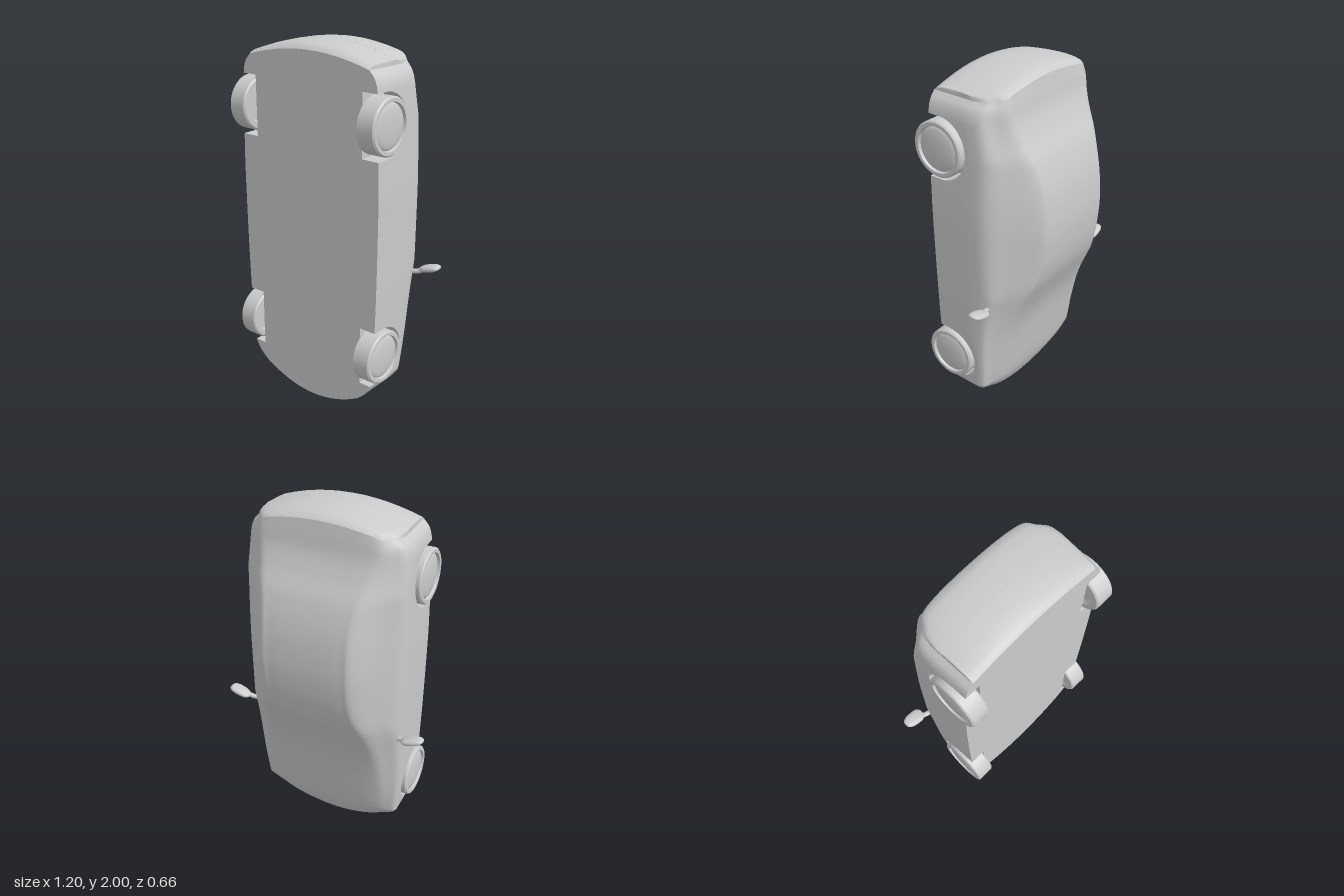
import * as THREE from 'three';
import { toCreasedNormals } from 'three/addons/utils/BufferGeometryUtils.js';

const FLOOR = 0.25, ARCH_Z = 0.18, ARCH_R = 0.165, WELL_X = 0.35;
const AXLES = [0.375, 1.632];

// Smooth lookup through [position, value] pairs
function smooth(table, s) {
  const n = table.length - 1;
  let i = 0;
  while (i < n - 1 && s > table[i + 1][0]) i++;
  const slope = (k) => {
    const a = table[Math.max(0, k - 1)], b = table[Math.min(n, k + 1)];
    return (b[1] - a[1]) / (b[0] - a[0]);
  };
  const [x0, y0] = table[i], [x1, y1] = table[i + 1];
  const h = x1 - x0, t = THREE.MathUtils.clamp((s - x0) / h, 0, 1), u = 1 - t;
  return u * u * (1 + 2 * t) * y0 + t * t * (3 - 2 * t) * y1
    + h * t * u * (u * slope(i) - t * slope(i + 1));
}

// Centreline height, half-width and roof half-width along the car
const TOP = [[0, 0.07], [0.05, 0.015], [0.1, -0.02], [0.2, -0.062], [0.4, -0.105], [0.5, -0.125],
  [0.6, -0.15], [0.7, -0.185], [0.8, -0.23], [0.9, -0.275], [1, -0.304], [1.1, -0.32], [1.2, -0.328],
  [1.3, -0.326], [1.4, -0.316], [1.5, -0.295], [1.6, -0.262], [1.7, -0.213], [1.8, -0.175],
  [1.9, -0.159], [1.96, -0.15]];
const HALF = [[0, 0.33], [0.07, 0.377], [0.14, 0.408], [0.21, 0.427], [0.54, 0.452], [1.2, 0.462],
  [1.5, 0.457], [1.8, 0.445], [1.9, 0.428], [1.96, 0.395]];
const ROOF = [[0, 0.27], [0.2, 0.33], [0.55, 0.34], [0.8, 0.31], [1, 0.27], [1.25, 0.262],
  [1.5, 0.265], [1.7, 0.3], [1.85, 0.33], [1.96, 0.32]];

// Ends bow: the corners sit further in than the centre
function bow(s) {
  if (s < 0.205) return 0.1 * (1 - s / 0.205);
  if (s > 1.8) return -0.075 * (s - 1.8) / 0.2;
  return 0;
}

// One closed cross-section; squash flattens it toward midZ to close the ends
function section({ s, arch = null, squash = 1, midZ = 0 }) {
  const p = Math.min(s, 1.96);
  const top = smooth(TOP, p), hw = smooth(HALF, p), rw = smooth(ROOF, p);
  const z0 = Math.max(0, top + 0.06);
  const belt = Math.max(-0.1, z0 + (top - z0) * 0.4);
  const edge = top + 0.014;
  const sill = arch === null ? FLOOR
    : ARCH_Z - Math.sqrt(Math.max(0, ARCH_R ** 2 - (s - arch) ** 2));
  const inner = arch === null ? hw - 0.008 : WELL_X;
  const sideX = (z) => hw - 0.008 * Math.max(0, z) / FLOOR;
  const half = [];
  for (let i = 0; i <= 6; i++) half.push([inner * i / 6, FLOOR]);
  half.push([inner, sill]);
  for (let i = 0; i < 5; i++) {
    const z = THREE.MathUtils.lerp(sill, z0, i / 5);
    half.push([sideX(z), z]);
  }
  const upper = new THREE.SplineCurve([[sideX(z0), z0], [hw - 0.012, belt],
    [(hw - 0.012 + rw) / 2 + 0.004, (belt + edge) / 2], [rw, edge], [rw * 0.78, top + 0.003],
    [rw * 0.4, top], [0, top]].map(([x, z]) => new THREE.Vector2(x, z)));
  for (const v of upper.getPoints(30)) half.push([v.x, v.y]);
  const mirrored = half.slice(1, -1).reverse().map(([x, z]) => [-x, z]);
  return [...half, ...mirrored, half[0]].map(([x, z]) =>
    [x, s + bow(s) * (x / hw) ** 2, midZ + (z - midZ) * squash]);
}

function bodyGeometry() {
  const stations = [];
  const span = (a, b, n) => {
    for (let i = 0; i <= n; i++) stations.push({ s: a + (b - a) * i / n });
  };
  const wheelArch = (c) => {
    for (let i = 0; i <= 24; i++) {
      stations.push({ s: c - ARCH_R * Math.cos(Math.PI * i / 24), arch: c });
    }
  };
  for (const squash of [0, 0.5, 0.85]) stations.push({ s: 0, squash, midZ: 0.16 });
  span(0.008, AXLES[0] - ARCH_R, 12);
  wheelArch(AXLES[0]);
  span(AXLES[0] + ARCH_R, AXLES[1] - ARCH_R, 36);
  wheelArch(AXLES[1]);
  span(AXLES[1] + ARCH_R, 1.96, 10);
  for (const [s, squash] of [[1.978, 0.92], [1.99, 0.75], [1.998, 0.4], [2, 0]]) {
    stations.push({ s, squash, midZ: 0.06 });
  }
  const rings = stations.map(section), n = rings[0].length, index = [];
  for (let i = 0; i < rings.length - 1; i++) {
    for (let j = 0; j < n - 1; j++) {
      const a = i * n + j, b = a + 1, c = a + n, d = c + 1;
      index.push(a, b, c, b, d, c);
    }
  }
  const g = new THREE.BufferGeometry();
  g.setAttribute('position', new THREE.Float32BufferAttribute(rings.flat(2), 3));
  g.setIndex(index);
  return toCreasedNormals(g, 0.6);
}

// Wheel turned about x, outer face toward +x, with a domed cap inside the rim
function wheelGeometry(width) {
  const w = width / 2;
  const profile = [[0, -w + 0.02], [0.1, -w + 0.02], [0.112, -w], [0.14, -w], [0.148, -w + 0.008],
    [0.148, w - 0.008], [0.14, w], [0.122, w], [0.118, w - 0.016]];
  for (let i = 0; i <= 8; i++) {
    const a = (i / 8) * Math.PI / 2;
    profile.push([0.117 * Math.cos(a), w - 0.016 + 0.018 * Math.sin(a)]);
  }
  const g = new THREE.LatheGeometry(profile.map(([r, y]) => new THREE.Vector2(Math.max(0, r), y)), 48);
  return toCreasedNormals(g.rotateZ(-Math.PI / 2), 0.6);
}

// Door mirror: a squared-off ellipsoid on a short stalk
function mirrorGeometry() {
  const g = new THREE.SphereGeometry(1, 32, 20);
  const pos = g.attributes.position;
  const square = (v) => Math.sign(v) * Math.abs(v) ** 0.75;
  for (let i = 0; i < pos.count; i++) {
    const x = pos.getX(i);
    pos.setXYZ(i, square(x) * 0.064, pos.getY(i) * 0.019, square(pos.getZ(i)) * (0.039 + 0.004 * x));
  }
  g.computeVertexNormals();
  return g;
}

export function createModel() {
  const model = new THREE.Group();
  const material = new THREE.MeshStandardMaterial({ color: 0xcccccc, side: THREE.DoubleSide });
  const add = (name, geometry, parent = model) => {
    const mesh = new THREE.Mesh(geometry, material);
    mesh.name = name;
    parent.add(mesh);
    return mesh;
  };
  add('body', bodyGeometry());

  for (const side of [1, -1]) {
    const label = side > 0 ? 'Left' : 'Right';
    // Wheels
    AXLES.forEach((y, i) => {
      const wheel = add((i ? 'rearWheel' : 'frontWheel') + label, wheelGeometry(0.108));
      wheel.position.set(side * (i ? 0.419 : 0.409), y, ARCH_Z);
      if (side < 0) wheel.rotation.y = Math.PI;
    });
    // Door mirrors
    const mirror = new THREE.Group();
    mirror.name = 'doorMirror' + label;
    model.add(mirror);
    const shell = add('mirrorShell' + label, mirrorGeometry(), mirror);
    shell.position.set(side * 0.537, 0.812, -0.114);
    shell.rotation.set(0, side < 0 ? Math.PI : 0, side * 0.3);
    if (side < 0) shell.rotation.set(0, 0, -0.3);
    const path = new THREE.CatmullRomCurve3([[0.43, 0.78, -0.085], [0.465, 0.783, -0.092],
      [0.51, 0.8, -0.105]].map(([x, y, z]) => new THREE.Vector3(side * x, y, z)));
    add('mirrorStalk' + label, new THREE.TubeGeometry(path, 10, 0.014, 12), mirror);
  }
  return model;
}
